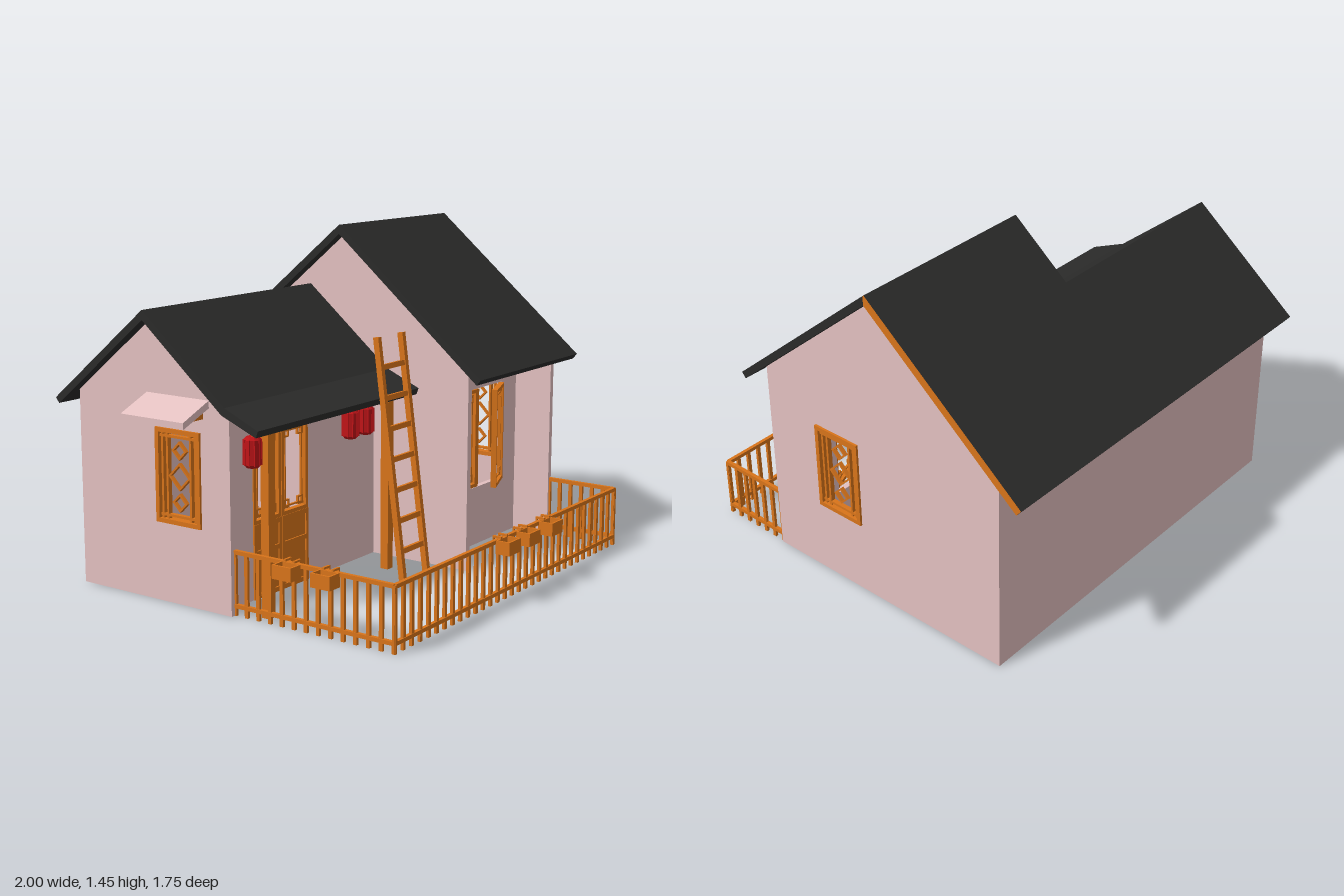
import * as THREE from 'three';

const mat = (color) => new THREE.MeshStandardMaterial({ color, flatShading: true, side: THREE.DoubleSide });
const wallMat = mat(0xe3c0c0), roofMat = mat(0x2b2b2a), woodMat = mat(0xd8741a), redMat = mat(0xc01418);

function add(parent, name, geometry, material, x = 0, y = 0, z = 0) {
  const mesh = new THREE.Mesh(geometry, material);
  mesh.name = name;
  mesh.position.set(x, y, z);
  parent.add(mesh);
  return mesh;
}

function group(parent, name, x = 0, y = 0, z = 0, ry = 0) {
  const g = new THREE.Group();
  g.name = name;
  g.position.set(x, y, z);
  g.rotation.y = ry;
  parent.add(g);
  return g;
}

const bar = (parent, name, w, h, d, x, y, z = 0) =>
  add(parent, name, new THREE.BoxGeometry(w, h, d), woodMat, x, y, z);

// Outline with rectangular holes [left, bottom, right, top]
function outline(points, holes = []) {
  const shape = new THREE.Shape(points.map(p => new THREE.Vector2(...p)));
  for (const [l, b, r, t] of holes) {
    shape.holes.push(new THREE.Path([[l, b], [l, t], [r, t], [r, b]].map(p => new THREE.Vector2(...p))));
  }
  return shape;
}

// Wall facing front or back
function frontSlab(parent, name, points, z0, z1, holes) {
  const geo = new THREE.ExtrudeGeometry(outline(points, holes), { depth: z1 - z0, bevelEnabled: false });
  return add(parent, name, geo, wallMat, 0, 0, z0);
}

// Profile given as (z, y), extruded along x
function sideSlab(parent, name, points, x0, x1, material, holes) {
  const geo = new THREE.ExtrudeGeometry(outline(points, holes), { depth: x1 - x0, bevelEnabled: false });
  geo.rotateY(-Math.PI / 2);
  return add(parent, name, geo, material, x1);
}

// Rectangular frame centred on the origin of its parent
function frame(parent, name, w, h, t, d) {
  for (const s of [-1, 1]) {
    bar(parent, name, t, h, d, s * (w - t) / 2, 0);
    bar(parent, name, w - 2 * t, t, d, 0, s * (h - t) / 2);
  }
}

// Lattice pane with a fine inner frame and squares at its corners
function latticePane(parent, name, w, h, x, y, z, ry = 0) {
  const g = group(parent, name, x, y, z, ry);
  frame(g, 'paneFrame', w, h, 0.016, 0.024);
  frame(g, 'innerFrame', w - 0.06, h - 0.06, 0.006, 0.01);
  for (const sx of [-1, 1]) for (const sy of [-1, 1]) {
    const c = group(g, 'cornerFret', sx * (w / 2 - 0.042), sy * (h / 2 - 0.042));
    frame(c, 'cornerSquare', 0.036, 0.036, 0.006, 0.01);
  }
  return g;
}

// Side window with three diamonds
function diamondWindow(parent, name, x, y, z) {
  const g = group(parent, name, x, y, z, Math.PI / 2);
  frame(g, 'windowFrame', 0.23, 0.385, 0.018, 0.04);
  for (const s of [-1, 1]) {
    bar(g, 'windowMullion', 0.01, 0.36, 0.02, s * 0.06, 0);
    bar(g, 'windowMullion', 0.01, 0.36, 0.02, s * 0.085, 0);
    bar(g, 'windowRail', 0.2, 0.01, 0.02, 0, s * 0.16);
  }
  for (const [dy, size] of [[-0.105, 0.054], [0, 0.08], [0.105, 0.054]]) {
    const d = group(g, 'diamond', 0, dy);
    d.rotation.z = Math.PI / 4;
    frame(d, 'diamondBar', size, size, 0.008, 0.016);
  }
}

// Straight run of picket fence along local x
function fence(parent, name, length, x, z, ry) {
  const g = group(parent, name, x, 0, z, ry);
  bar(g, 'topRail', length, 0.016, 0.016, length / 2, 0.257);
  bar(g, 'bottomRail', length, 0.016, 0.016, length / 2, 0.04);
  const count = Math.round(length / 0.057);
  for (let i = 0; i <= count; i++) bar(g, 'picket', 0.016, 0.26, 0.012, i * length / count, 0.13);
}

// Flower box hooked over the fence, facing local +z
function planter(parent, x, z, ry) {
  const g = group(parent, 'planterBox', x, 0.237, z, ry);
  bar(g, 'boxBottom', 0.075, 0.01, 0.05, 0, -0.022, 0.035);
  for (const s of [-1, 1]) {
    bar(g, 'boxEnd', 0.008, 0.055, 0.056, s * 0.041, 0, 0.035);
    bar(g, 'boxSide', 0.09, 0.055, 0.008, 0, 0, 0.035 + s * 0.028);
    bar(g, 'hookTop', 0.01, 0.008, 0.04, s * 0.022, 0.036, -0.002);
    bar(g, 'hookDrop', 0.01, 0.03, 0.006, s * 0.022, 0.024, -0.019);
  }
}

function lantern(parent, x) {
  const g = group(parent, 'lantern', x, 0.672, 0.17);
  const profile = [[0, -0.06], [0.024, -0.06], [0.034, -0.048], [0.034, 0.048], [0.024, 0.06], [0, 0.06]];
  add(g, 'lanternBody', new THREE.LatheGeometry(profile.map(p => new THREE.Vector2(...p)), 10), redMat);
  for (let i = 0; i < 10; i++) {
    const a = i * Math.PI / 5;
    add(g, 'lanternRib', new THREE.BoxGeometry(0.005, 0.1, 0.005), redMat, Math.sin(a) * 0.034, 0, Math.cos(a) * 0.034);
  }
  bar(g, 'lanternCord', 0.006, 0.05, 0.006, 0, 0.083);
}

export function createModel() {
  const house = new THREE.Group();
  house.name = 'house';

  // Tall wing walls
  const tall = group(house, 'tallWing');
  const tallGable = [[-0.73, 0], [0.48, 0], [0.48, 0.875], [-0.15, 1.405], [-0.73, 0.925]];
  sideSlab(tall, 'tallLeftGable', tallGable, 0.915, 0.94, wallMat, [[-0.01, 0.33, 0.21, 0.71]]);
  sideSlab(tall, 'tallInnerGable', tallGable, 0.2, 0.228, wallMat);
  frontSlab(tall, 'tallBackWall', [[0.2, 0], [0.94, 0], [0.94, 0.925], [0.2, 0.925]], -0.73, -0.705);
  frontSlab(tall, 'tallFrontWall', [[0.228, 0], [0.915, 0], [0.915, 1.02], [0.228, 1.02]], 0.275, 0.3,
    [[0.375, 0.265, 0.785, 0.715]]);

  // Tall wing roof with a wooden end board on the rear slope
  sideSlab(tall, 'tallRoof', [[0.568, 0.84], [-0.15, 1.445], [-0.88, 0.84], [-0.861, 0.817], [-0.15, 1.405], [0.549, 0.817]],
    0.15, 0.995, roofMat);
  sideSlab(tall, 'rearVergeBoard', [[-0.15, 1.444], [-0.879, 0.84], [-0.861, 0.818], [-0.15, 1.406]], 0.994, 1.0, woodMat);

  // Low wing walls
  const low = group(house, 'lowWing');
  sideSlab(low, 'lowRightGable', [[-0.73, 0], [0.06, 0], [0.06, 0.79], [-0.34, 1.13], [-0.73, 0.815]],
    -0.85, -0.82, wallMat, [[-0.31, 0.33, -0.09, 0.71]]);
  frontSlab(low, 'lowBackWall', [[-0.85, 0], [0.2, 0], [0.2, 0.815], [-0.85, 0.815]], -0.73, -0.705);
  frontSlab(low, 'lowFrontWall', [[-0.82, 0], [-0.64, 0], [-0.64, 0.69], [-0.28, 0.69], [-0.28, 0],
    [0.2, 0], [0.2, 0.835], [-0.82, 0.835]], -0.025, 0);

  // Low wing roof, flatter over the porch
  sideSlab(low, 'lowRoof', [[0.232, 0.765], [0.07, 0.835], [-0.34, 1.175], [-0.828, 0.777],
    [-0.81, 0.755], [-0.34, 1.135], [0.055, 0.805], [0.222, 0.738]], -0.89, 0.2, roofMat);

  // Porch posts and lanterns
  for (const x of [-0.77, 0.04]) bar(low, 'porchPost', 0.038, 0.76, 0.038, x, 0.38, 0.18);
  for (const x of [-0.847, -0.212, -0.105]) lantern(low, x);

  // Double door: boarded lower half, lattice above
  const door = group(low, 'doubleDoor', -0.46, 0, -0.008);
  for (const s of [-1, 1]) {
    const leaf = group(door, 'doorLeaf', s * 0.09);
    bar(leaf, 'doorPanel', 0.176, 0.31, 0.016, 0, 0.155);
    for (const y of [0.01, 0.19, 0.3]) bar(leaf, 'doorRail', 0.176, 0.02, 0.028, 0, y);
    for (const e of [-1, 1]) bar(leaf, 'doorStile', 0.016, 0.31, 0.028, e * 0.08, 0.155);
    latticePane(leaf, 'doorLattice', 0.176, 0.38, 0, 0.5, 0);
  }

  // Front windows: one closed, one swung open
  latticePane(tall, 'closedWindow', 0.2, 0.445, 0.475, 0.49, 0.29);
  const hinge = group(tall, 'openWindow', 0.785, 0.49, 0.3, 0.38);
  latticePane(hinge, 'openSash', 0.2, 0.445, -0.1, 0, 0);
  bar(tall, 'windowPost', 0.012, 0.445, 0.024, 0.58, 0.49, 0.29);

  // Side windows
  diamondWindow(tall, 'leftSideWindow', 0.93, 0.52, 0.1);
  diamondWindow(low, 'rightSideWindow', -0.84, 0.52, -0.2);

  // Awning over the right side window
  const awning = [[-1, 0.755], [-0.85, 0.815], [-0.85, 0.845], [-1, 0.782]];
  frontSlab(low, 'awning', awning, -0.36, -0.04);
  for (const z of [-0.33, -0.085]) {
    const geo = new THREE.ExtrudeGeometry(outline([[-0.965, 0.769], [-0.85, 0.769], [-0.85, 0.815]]),
      { depth: 0.015, bevelEnabled: false });
    add(low, 'awningBracket', geo, woodMat, 0, 0, z);
  }

  // Leaning ladder
  const ladder = group(house, 'ladder', 0.01, 0, 0.345);
  ladder.rotation.x = -0.133;
  for (const s of [-1, 1]) bar(ladder, 'ladderRail', 0.022, 1.025, 0.026, s * 0.089, 0.513);
  for (let i = 0; i < 7; i++) bar(ladder, 'ladderRung', 0.165, 0.022, 0.018, 0, 0.125 + i * 0.129);

  // Yard fence and planters
  fence(house, 'frontFence', 1.755, -0.825, 0.805, 0);
  fence(house, 'rightFence', 0.745, -0.825, 0.805, Math.PI / 2);
  fence(house, 'leftFence', 0.325, 0.93, 0.805, Math.PI / 2);
  for (const x of [-0.078, 0.083, 0.272]) planter(house, x, 0.808, 0);
  for (const z of [0.34, 0.52]) planter(house, -0.828, z, -Math.PI / 2);

  return house;
}
